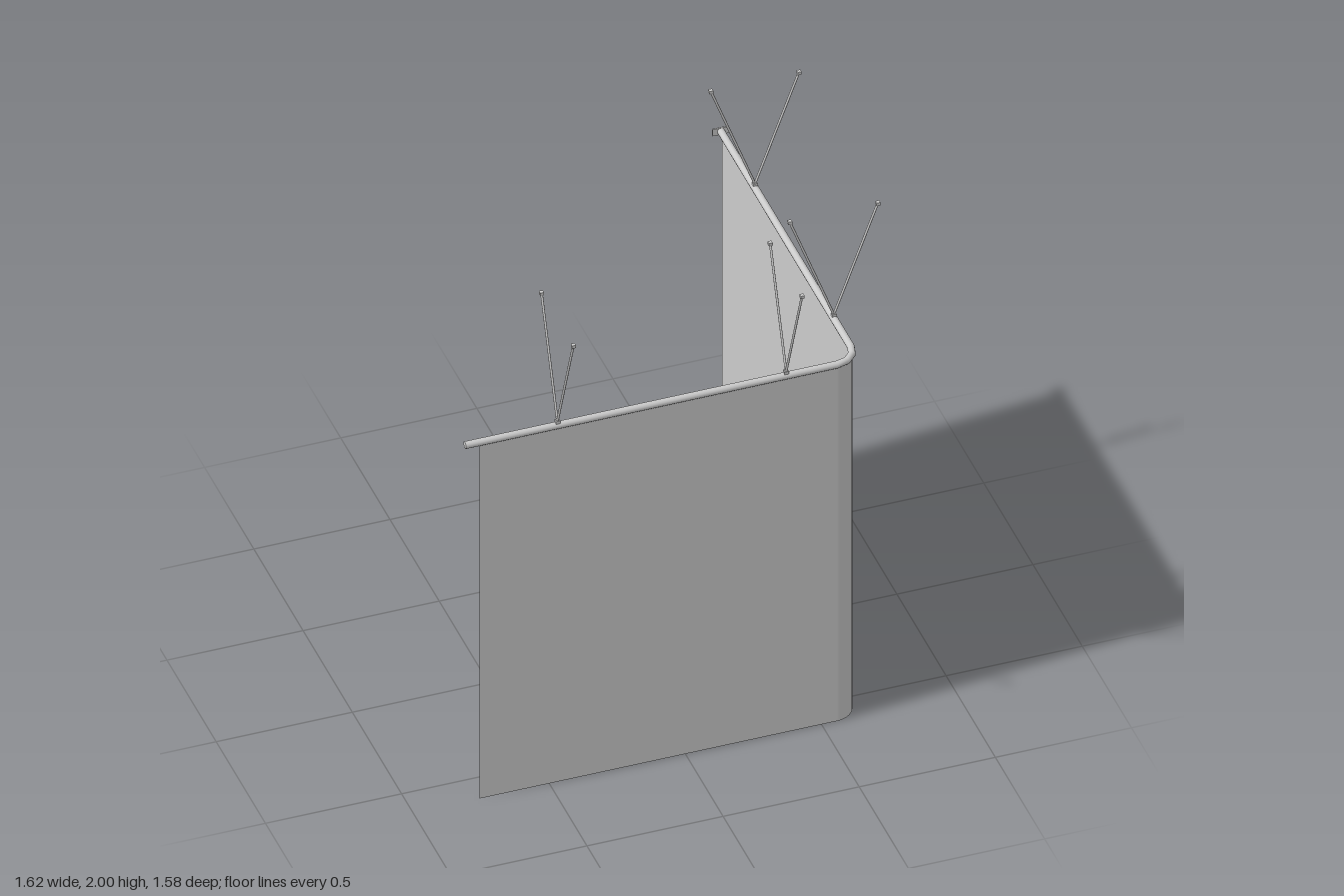
import * as THREE from 'three';

const material = new THREE.MeshStandardMaterial({ color: 0xcccccc, side: THREE.DoubleSide });
const CORNER = { x: 0.557, z: 0.537, r: 0.08 };
const RAIL_Y = 1.538, RAIL_R = 0.0135;

// L-shaped plan path with a rounded corner; each station has an outward normal
function planPath(xStart, zEnd, steps) {
  const path = [{ x: xStart, z: CORNER.z + CORNER.r, nx: 0, nz: 1 }];
  for (let i = 0; i <= steps; i++) {
    const a = (Math.PI / 2) * (1 - i / steps);
    const nx = Math.cos(a), nz = Math.sin(a);
    path.push({ x: CORNER.x + CORNER.r * nx, z: CORNER.z + CORNER.r * nz, nx, nz });
  }
  path.push({ x: CORNER.x + CORNER.r, z: zEnd, nx: 1, nz: 0 });
  return path;
}

// Sweep a profile of { out, y, no, ny } along the path
function sweep(path, profile) {
  const pos = [], nor = [], idx = [], n = profile.length;
  path.forEach((p, i) => profile.forEach((q, j) => {
    pos.push(p.x + p.nx * q.out, q.y, p.z + p.nz * q.out);
    nor.push(p.nx * q.no, q.ny, p.nz * q.no);
    if (i < path.length - 1 && j < n - 1) {
      const a = i * n + j, b = a + n;
      idx.push(a, b, b + 1, a, b + 1, a + 1);
    }
  }));
  const g = new THREE.BufferGeometry();
  g.setAttribute('position', new THREE.Float32BufferAttribute(pos, 3));
  g.setAttribute('normal', new THREE.Float32BufferAttribute(nor, 3));
  g.setIndex(idx);
  return g;
}

function add(parent, name, geometry) {
  const mesh = new THREE.Mesh(geometry, material);
  mesh.name = name;
  parent.add(mesh);
  return mesh;
}

// Pair of thin hanging rods in a V, spreading along local x
function makeHanger() {
  const hanger = new THREE.Group();
  hanger.name = 'ceilingHanger';
  const bottom = 1.555, top = 1.995, spread = 0.162;
  for (const s of [-1, 1]) {
    const rod = add(hanger, 'hangerRod',
      new THREE.CylinderGeometry(0.0045, 0.0045, Math.hypot(spread, top - bottom), 8));
    rod.position.set(s * spread / 2, (bottom + top) / 2, 0);
    rod.rotation.z = -s * Math.atan2(spread, top - bottom);
    add(hanger, 'ceilingFoot', new THREE.BoxGeometry(0.014, 0.012, 0.014))
      .position.set(s * spread, 1.994, 0);
  }
  add(hanger, 'railClip', new THREE.BoxGeometry(0.016, 0.014, 0.016)).position.y = 1.553;
  return hanger;
}

export function createModel() {
  const model = new THREE.Group();
  model.name = 'cornerCurtain';

  // Curtain sheet
  add(model, 'curtain', sweep(planPath(-0.757, -0.77, 12), [
    { out: 0, y: 0, no: 1, ny: 0 },
    { out: 0, y: 1.53, no: 1, ny: 0 },
  ]));

  // Round rail with closed ends
  const ring = [];
  for (let j = 0; j <= 12; j++) {
    const t = (j / 12) * Math.PI * 2, no = Math.cos(t), ny = Math.sin(t);
    ring.push({ out: RAIL_R * no, y: RAIL_Y + RAIL_R * ny, no, ny });
  }
  add(model, 'rail', sweep(planPath(-0.81, -0.785, 3), ring));
  const cap = add(model, 'railEndCap', new THREE.CircleGeometry(RAIL_R, 12));
  cap.position.set(-0.81, RAIL_Y, CORNER.z + CORNER.r);
  cap.rotation.y = -Math.PI / 2;

  // Wall plate at the back end of the rail
  add(model, 'wallPlate', new THREE.BoxGeometry(0.06, 0.028, 0.006))
    .position.set(CORNER.x + CORNER.r, RAIL_Y, -0.786);

  // Hangers along the front run and the side run
  for (const x of [-0.47, 0.37]) {
    const h = makeHanger();
    h.position.set(x, 0, CORNER.z + CORNER.r);
    h.rotation.y = Math.PI / 2;
    model.add(h);
  }
  for (const z of [0.363, -0.438]) {
    const h = makeHanger();
    h.position.set(CORNER.x + CORNER.r, 0, z);
    model.add(h);
  }
  return model;
}
